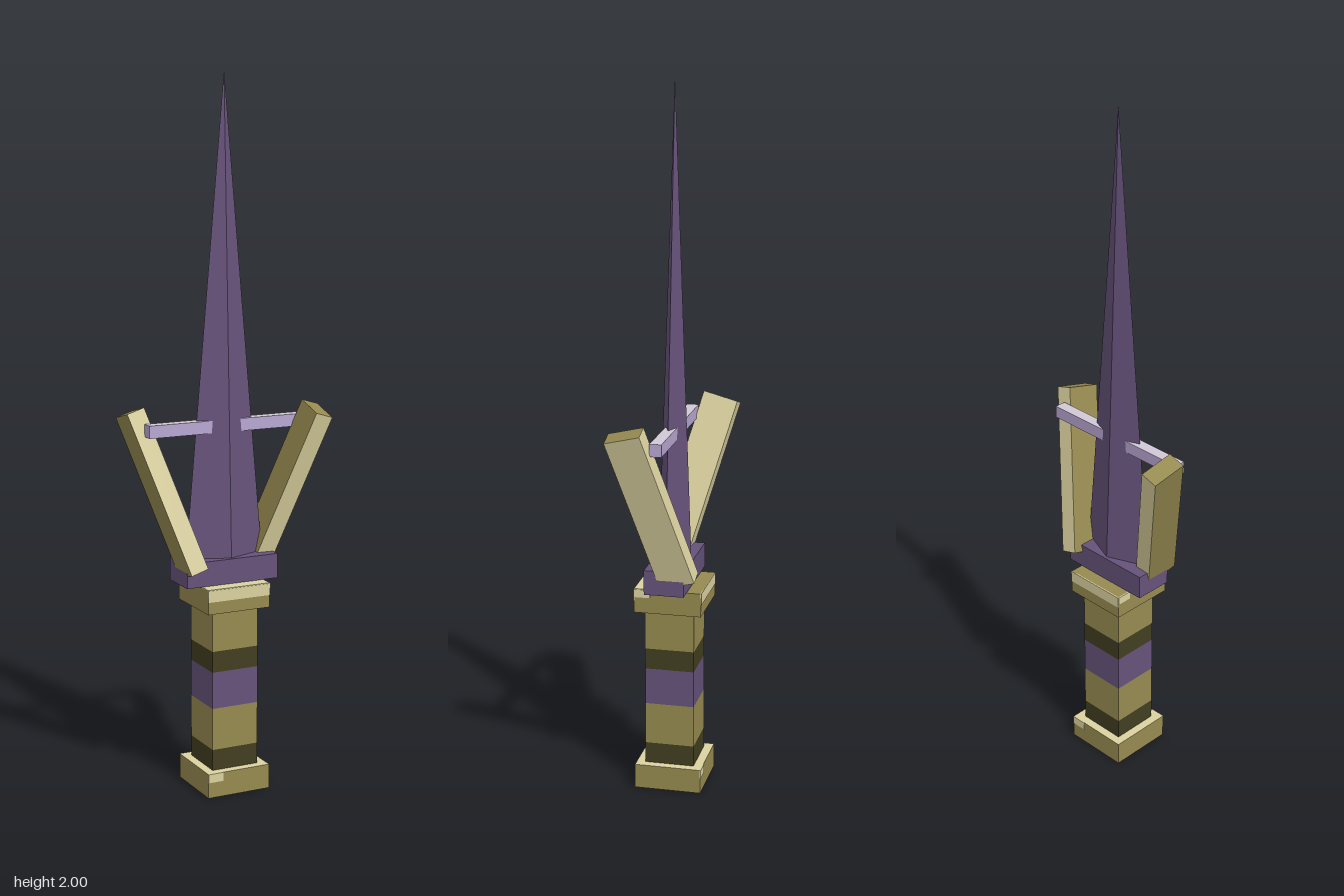
import * as THREE from 'three';

export function createModel() {
  const model = new THREE.Group();
  model.name = 'dagger';

  const material = (name, color) => {
    const m = new THREE.MeshStandardMaterial({ color });
    m.name = name;
    return m;
  };
  const purple = material('purple', 0x66527a);
  const olive = material('olive', 0x968a50);
  const darkOlive = material('dark olive', 0x413e20);
  const cream = material('cream', 0xdcd2a0);
  const lavender = material('lavender', 0xb8a6d2);
  const paleLavender = material('pale lavender', 0xd0c8d6);

  // Box between two heights, centred on x and z unless given
  const box = (name, mat, w, y0, y1, d, x = 0, z = 0) => {
    const mesh = new THREE.Mesh(new THREE.BoxGeometry(w, y1 - y0, d), mat);
    mesh.name = name;
    mesh.position.set(x, (y0 + y1) / 2, z);
    model.add(mesh);
    return mesh;
  };

  // Pommel and collar; face order is +x, -x, +y, -y, +z, -z
  box('pommel', [olive, olive, cream, olive, olive, olive], 0.19, 0, 0.07, 0.19);
  box('collar', olive, 0.19, 0.53, 0.598, 0.19);

  // Grip made of coloured bands
  [
    [0.07, 0.13, darkOlive],
    [0.13, 0.25, olive],
    [0.25, 0.355, purple],
    [0.355, 0.415, darkOlive],
    [0.415, 0.53, olive],
  ].forEach(([y0, y1, mat]) => box('gripBand', mat, 0.14, y0, y1, 0.14));

  // Pale inlays, repeated on opposite sides
  box('collarTopInlay', cream, 0.19, 0.596, 0.6, 0.095, 0, 0.0475);
  for (const s of [1, -1]) {
    box('collarInlay', cream, 0.19, 0.565, 0.598, 0.004, 0, s * 0.0945);
    box('collarSideInlay', cream, 0.004, 0.575, 0.598, 0.045, s * 0.0945, s * 0.0725);
    box('pommelInlay', cream, 0.045, 0.045, 0.07, 0.004, -s * 0.0725, s * 0.0945);
  }

  // Guard
  box('guard', purple, 0.28, 0.6, 0.67, 0.112);

  // Diamond-section blade tapering to a point
  const bladeShape = new THREE.ConeGeometry(1, 1.33, 4).toNonIndexed();
  bladeShape.scale(0.118, 1, 0.047);
  bladeShape.computeVertexNormals();
  const blade = new THREE.Mesh(bladeShape, purple);
  blade.name = 'blade';
  blade.position.y = 0.67 + 1.33 / 2;
  model.add(blade);

  // Thin bar through the blade
  box('crossbar', [lavender, lavender, paleLavender, lavender, lavender, lavender],
    0.464, 1.02, 1.055, 0.033);

  // Two twisted prongs, one the half-turn of the other; -x faces stay olive
  const prongShape = new THREE.BoxGeometry(0.052, 0.476, 0.102);
  for (const s of [1, -1]) {
    const sides = s > 0 ? [cream, olive] : [olive, cream];
    const prong = new THREE.Mesh(prongShape, [...sides, olive, olive, cream, cream]);
    prong.position.set(0.179, 0.858, 0.023);
    prong.rotation.set(0.253, 0, -0.3, 'ZXY');
    prong.name = 'prong';
    const turn = new THREE.Group();
    turn.name = s > 0 ? 'leftProng' : 'rightProng';
    turn.rotation.y = s > 0 ? 0 : Math.PI;
    turn.add(prong);
    model.add(turn);
  }

  return model;
}
